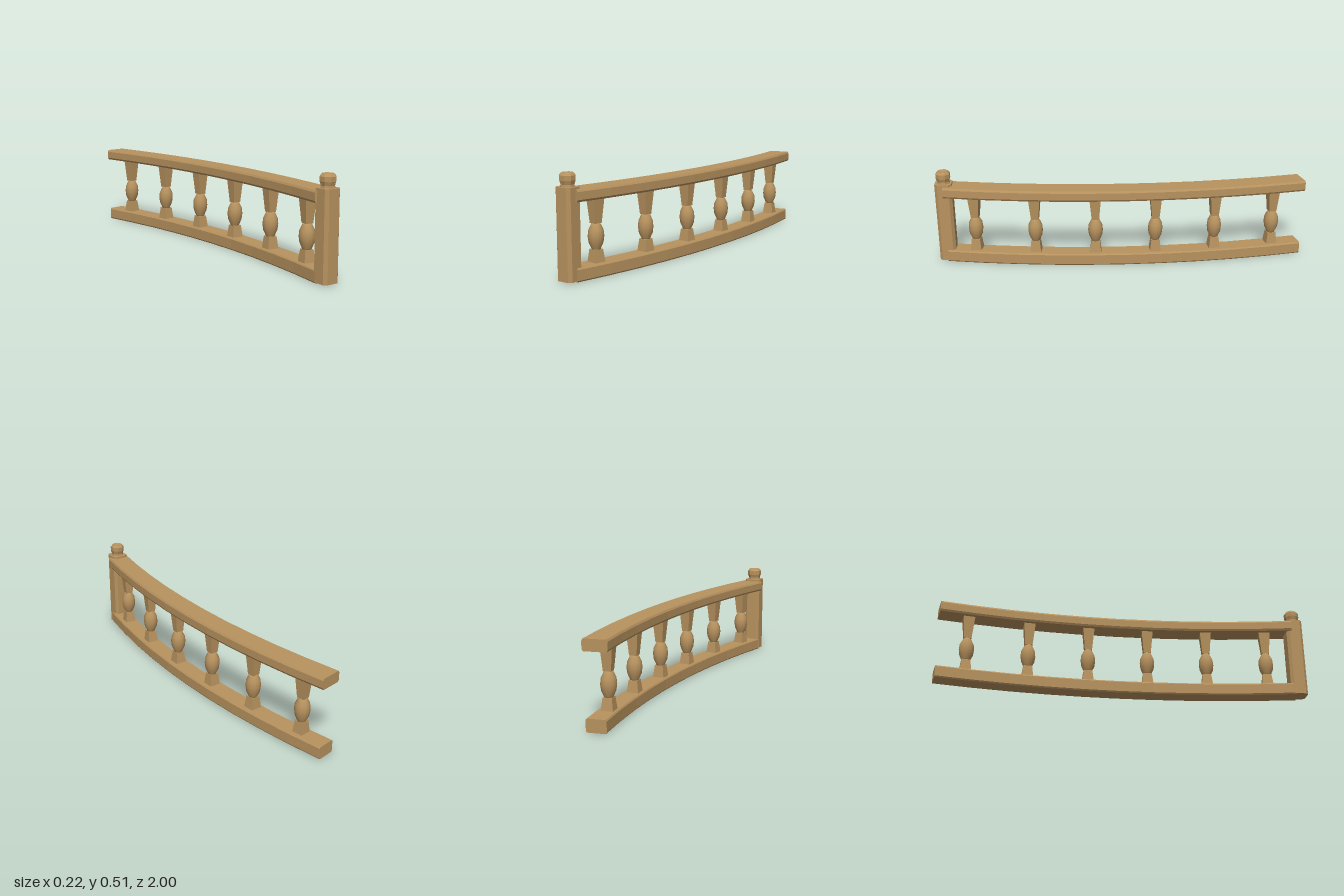
import * as THREE from 'three';

const wood = new THREE.MeshStandardMaterial({ color: 0xb8935f, flatShading: true });
wood.name = 'wood';
const turnedWood = new THREE.MeshStandardMaterial({ color: 0xb8935f });
turnedWood.name = 'wood smooth';

// Plan of the gentle bow followed by rails and balusters
const bowX = z => 0.046 - 0.102 * (z + 0.02) ** 2;
const bowSlope = z => -0.204 * (z + 0.02);

function add(parent, name, geometry, material = wood) {
  const mesh = new THREE.Mesh(geometry, material);
  mesh.name = name;
  parent.add(mesh);
  return mesh;
}

// Sweeps a closed section of [sideways, height] points along the bow
function sweepRail(section, z0, z1, steps) {
  const n = section.length, pos = [], idx = [];
  for (let i = 0; i <= steps; i++) {
    const z = z0 + (z1 - z0) * i / steps;
    const s = bowSlope(z), len = Math.hypot(1, s);
    for (const [u, v] of section) pos.push(bowX(z) + u / len, v, z - u * s / len);
  }
  for (let i = 0; i < steps; i++) {
    for (let j = 0; j < n; j++) {
      const a = i * n + j, b = i * n + (j + 1) % n;
      idx.push(a, b, b + n, a, b + n, a + n);
    }
  }
  const last = steps * n;
  for (let j = 1; j < n - 1; j++) {
    idx.push(0, j + 1, j, last, last + j, last + j + 1);
  }
  const g = new THREE.BufferGeometry();
  g.setAttribute('position', new THREE.Float32BufferAttribute(pos, 3));
  g.setIndex(idx);
  g.computeVertexNormals();
  return g;
}

// Rectangle with bevelled corners, counter-clockwise
function bevelled(halfW, y0, y1, bx, by) {
  return [
    [-halfW + bx, y0], [halfW - bx, y0], [halfW, y0 + by], [halfW, y1 - by],
    [halfW - bx, y1], [-halfW + bx, y1], [-halfW, y1 - by], [-halfW, y0 + by],
  ];
}

// Square tapered block
function taper(half0, half1, y0, y1) {
  const g = new THREE.CylinderGeometry(half1 * Math.SQRT2, half0 * Math.SQRT2, y1 - y0, 4);
  return g.rotateY(Math.PI / 4).translate(0, (y0 + y1) / 2, 0);
}

function lathe(points, sides) {
  return new THREE.LatheGeometry(points.map(p => new THREE.Vector2(...p)), sides);
}

function createBaluster(z) {
  const b = new THREE.Group();
  b.name = 'baluster';
  add(b, 'lowerBlock', taper(0.031, 0.023, 0.06, 0.128));
  add(b, 'bulb', lathe([
    [0, 0.122], [0.021, 0.124], [0.024, 0.133], [0.036, 0.16], [0.04, 0.19],
    [0.037, 0.22], [0.025, 0.245], [0.02, 0.255], [0, 0.258],
  ], 12), turnedWood);
  add(b, 'upperBlock', taper(0.02, 0.031, 0.253, 0.38));
  b.position.set(bowX(z) - 0.005, 0, z);
  b.rotation.y = Math.atan(bowSlope(z));
  return b;
}

export function createModel() {
  const model = new THREE.Group();
  model.name = 'curvedRailing';

  // Rails
  add(model, 'handRail', sweepRail(bevelled(0.061, 0.376, 0.434, 0.006, 0.01), -0.987, 0.945, 10));
  add(model, 'bottomRail', sweepRail(bevelled(0.05, 0, 0.066, 0.005, 0.007), -0.985, 0.945, 10));

  // Evenly spaced balusters
  for (let i = 0; i < 6; i++) model.add(createBaluster(0.795 - i * 0.325));

  // End post with bevelled corners
  const post = new THREE.Group();
  post.name = 'endPost';
  const outline = bevelled(0.046, -0.045, 0.045, 0.015, 0.015).map(p => new THREE.Vector2(...p));
  const shaft = new THREE.ExtrudeGeometry(new THREE.Shape(outline), { depth: 0.44, bevelEnabled: false });
  shaft.rotateX(-Math.PI / 2).translate(0, 0.005, 0);
  add(post, 'postShaft', shaft);

  // Roughly carved knob
  const knob = lathe([
    [0.036, 0.443], [0.034, 0.456], [0.04, 0.475], [0.04, 0.498], [0.029, 0.511], [0, 0.505],
  ], 8);
  add(post, 'postKnob', knob.rotateY(Math.PI / 8));
  post.position.set(-0.051, 0, 0.955);
  model.add(post);

  return model;
}
